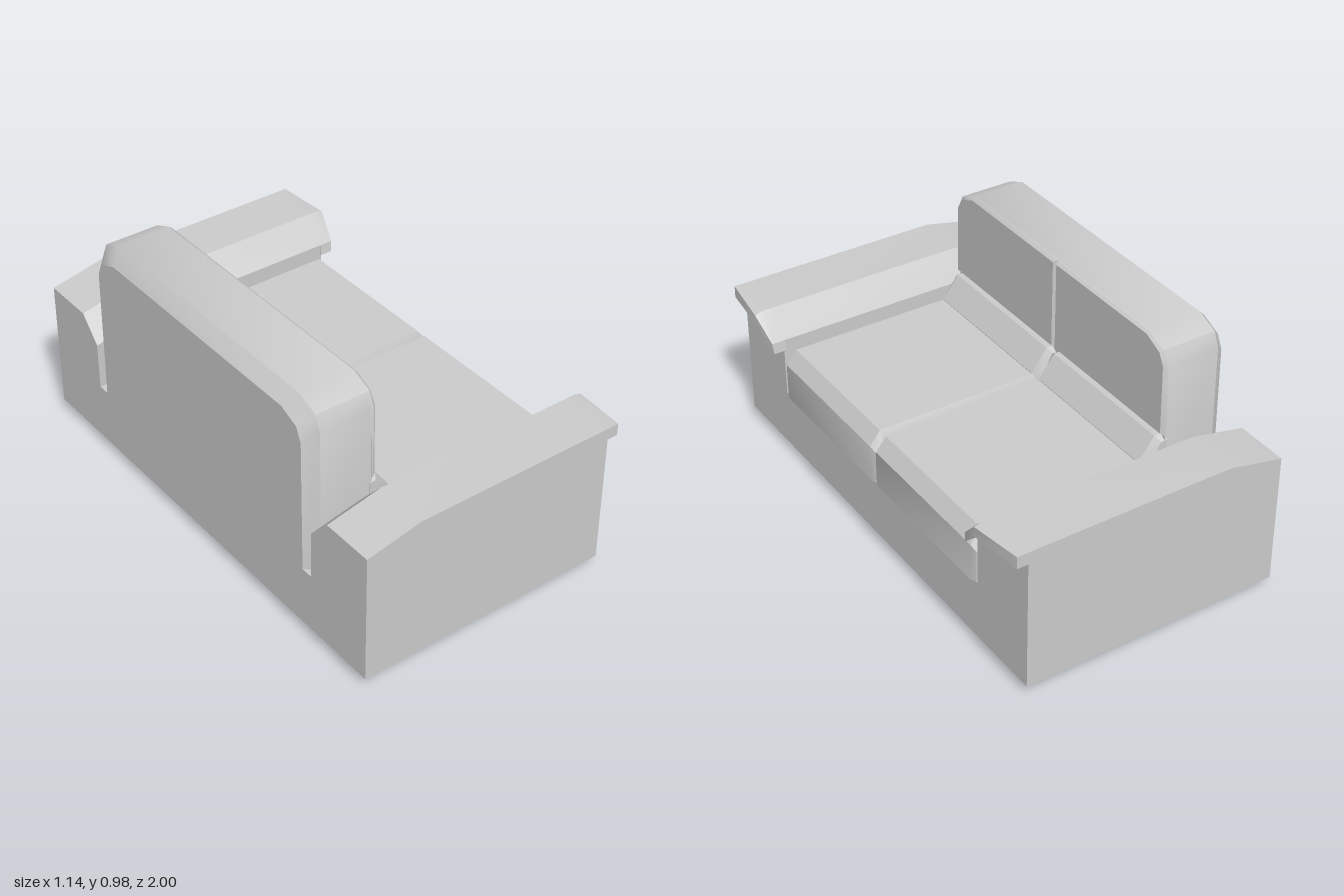
import * as THREE from 'three';
import { toCreasedNormals } from 'three/addons/utils/BufferGeometryUtils.js';

const material = new THREE.MeshStandardMaterial({ color: 0xcccccc });

// Closed solid through matching cross-sections [position, points].
// axis 'x': points are [z, y, xOffset]; axis 'z': points are [x, y].
// mirror = -1 reflects the solid in z.
function loft(axis, sections, mirror = 1) {
  const rings = sections.map(([p, pts]) => pts.map(([a, y, off = 0]) =>
    axis === 'x' ? new THREE.Vector3(p + off, y, a * mirror) : new THREE.Vector3(a, y, p * mirror)));
  const n = rings[0].length;
  const tris = [];
  for (let i = 0; i < rings.length - 1; i++) {
    for (let j = 0; j < n; j++) {
      const k = (j + 1) % n;
      const [a, b, c, d] = [rings[i][j], rings[i][k], rings[i + 1][k], rings[i + 1][j]];
      tris.push([a, b, c], [a, c, d]);
    }
  }
  // End caps
  const cap = (s) => THREE.ShapeUtils.triangulateShape(sections[s][1].map(([a, y]) => new THREE.Vector2(a, y)), []);
  const clockwise = THREE.ShapeUtils.isClockWise(sections[0][1].map(([a, y]) => new THREE.Vector2(a, y)));
  const last = rings.length - 1;
  for (const s of [0, last]) {
    for (const [a, b, c] of cap(s)) {
      const t = [rings[s][a], rings[s][b], rings[s][c]];
      // Triangles follow the outline; the first cap is turned the other way
      const p = sections[s][1];
      const area = (p[b][0] - p[a][0]) * (p[c][1] - p[a][1]) - (p[c][0] - p[a][0]) * (p[b][1] - p[a][1]);
      const followsOutline = (area < 0) === clockwise;
      tris.push(followsOutline === (s === last) ? t : t.reverse());
    }
  }
  // Turn the whole solid outward
  const volume = tris.reduce((v, [a, b, c]) => v + a.dot(b.clone().cross(c)), 0);
  if (volume < 0) tris.forEach((t) => t.reverse());
  const geometry = new THREE.BufferGeometry().setFromPoints(tris.flat());
  return toCreasedNormals(geometry, 0.55);
}

function box(x0, x1, y0, y1, z0, z1) {
  return new THREE.BoxGeometry(x1 - x0, y1 - y0, z1 - z0)
    .translate((x0 + x1) / 2, (y0 + y1) / 2, (z0 + z1) / 2);
}

export function createModel() {
  const sofa = new THREE.Group();
  sofa.name = 'sofa';
  const add = (name, geometry) => {
    const mesh = new THREE.Mesh(geometry, material);
    mesh.name = name;
    sofa.add(mesh);
  };

  // Base between the arms
  add('base', box(-0.57, 0.5, 0.045, 0.29, -0.69, 0.69));

  // Backrest with chamfered rear edges and rounded top corners
  const outline = (w, top, bottom) => {
    const half = [[w, bottom], [w - 0.005, top - 0.09], [w - 0.03, top - 0.035], [w - 0.115, top]];
    return [...half, ...half.map(([z, y]) => [-z, y]).reverse()];
  };
  add('backrest', loft('x', [
    [-0.57, outline(0.64, 0.93, 0.26)],
    [-0.52, outline(0.68, 0.98, 0.26)],
    [-0.3, outline(0.68, 0.98, 0.26)],
  ]));

  for (const side of [1, -1]) {
    const label = side > 0 ? 'left' : 'right';

    // Foot rail
    add(label + 'Foot', box(-0.535, 0.465, 0, 0.045, side * 0.845 - 0.115, side * 0.845 + 0.115));

    // Arm, with its top dropping toward the back
    const arm = (top) => [[1, 0.045], [1, top], [0.78, top], [0.69, top - 0.1], [0.69, 0.045]];
    add(label + 'Arm', loft('x', [[-0.57, arm(0.585)], [-0.34, arm(0.635)], [0.5, arm(0.635)]], side));

    // Overhanging front lip of the arm pad
    const lip = [[1, 0.635], [0.78, 0.635], [0.69, 0.535], [0.685, 0.49], [0.78, 0.585], [1, 0.585]];
    const bulge = [0, 0.025, 0.005, 0, 0.025, 0];
    add(label + 'ArmLip', loft('x', [
      [0.495, lip],
      [0.542, lip],
      [0.545, lip.map(([z, y], i) => [z, i === 1 ? 0.625 : y, bulge[i]])],
    ], side));

    // Seat cushion with bevelled sides and front
    const seatEnd = [[-0.3, 0.285], [0.498, 0.285], [0.498, 0.42], [0.465, 0.455], [-0.3, 0.455]];
    const seatMid = [[-0.3, 0.285], [0.508, 0.285], [0.508, 0.44], [0.465, 0.497], [-0.3, 0.497]];
    add(label + 'SeatCushion', loft('z', [[0, seatEnd], [0.022, seatMid], [0.658, seatMid], [0.682, seatEnd]], side));

    // Sloping pad between seat and backrest
    const padEnd = [[-0.31, 0.4], [-0.22, 0.4], [-0.235, 0.49], [-0.285, 0.575], [-0.31, 0.575]];
    const padMid = [[-0.31, 0.4], [-0.2, 0.4], [-0.205, 0.5], [-0.272, 0.592], [-0.31, 0.592]];
    add(label + 'LowerBackPad', loft('z', [[0, padEnd], [0.025, padMid], [0.655, padMid], [0.68, padEnd]], side));

    // Front panel of the backrest
    const panel = (e) => [[0.002 + e, 0.597 + e], [0.68 - e, 0.597 + e], [0.675 - e, 0.89],
      [0.65 - e, 0.945 - e], [0.565, 0.98 - e], [0.002 + e, 0.98 - e]];
    add(label + 'BackPanel', loft('x', [[-0.305, panel(0)], [-0.295, panel(0)], [-0.284, panel(0.009)]], side));
  }
  return sofa;
}
